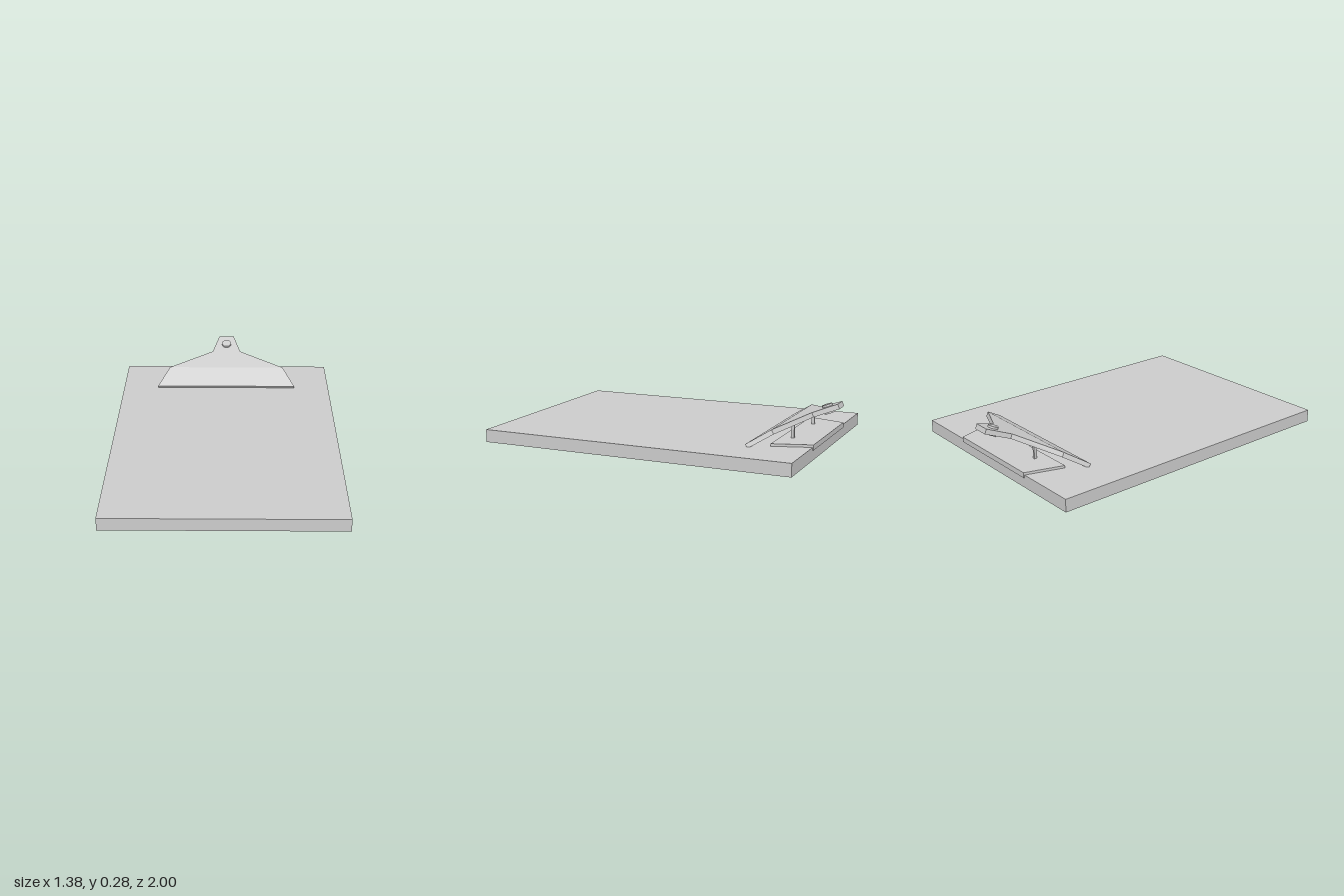
import * as THREE from 'three';

const mat = new THREE.MeshStandardMaterial({ color: 0xcccccc, flatShading: true });
const smooth = new THREE.MeshStandardMaterial({ color: 0xcccccc });

function add(parent, name, geo, x = 0, y = 0, z = 0, material = mat) {
  const mesh = new THREE.Mesh(geo, material);
  mesh.name = name;
  mesh.position.set(x, y, z);
  parent.add(mesh);
  return mesh;
}

// Bent plate lofted through stations of [half width, z, y of the top face, tilt in degrees, thickness]
function bentPlate(stations) {
  const rings = stations.map(([w, z, y, tilt, t]) => {
    const a = THREE.MathUtils.degToRad(tilt);
    const zb = z - t * Math.sin(a), yb = y - t * Math.cos(a);
    return [[-w, y, z], [w, y, z], [w, yb, zb], [-w, yb, zb]];
  });
  const pos = [];
  const quad = (a, b, c, d) => pos.push(...a, ...b, ...c, ...a, ...c, ...d);
  for (let i = 0; i < rings.length - 1; i++) {
    const p = rings[i], q = rings[i + 1];
    for (let k = 0; k < 4; k++) {
      const n = (k + 1) % 4;
      quad(p[k], p[n], q[n], q[k]);
    }
  }
  const first = rings[0], last = rings[rings.length - 1];
  quad(first[3], first[2], first[1], first[0]);
  quad(last[0], last[1], last[2], last[3]);
  const geo = new THREE.BufferGeometry();
  geo.setAttribute('position', new THREE.Float32BufferAttribute(pos, 3));
  geo.computeVertexNormals();
  return geo;
}

export function createModel() {
  const model = new THREE.Group();
  model.name = 'clipboard';

  // Writing board
  add(model, 'board', new THREE.BoxGeometry(1.38, 0.077, 1.925), 0, 0.0385, 0.0375);

  // Trapezoid mounting plate, with a lip folded over the back edge of the board
  const outline = new THREE.Shape([
    new THREE.Vector2(-0.385, 0.70), new THREE.Vector2(0.385, 0.70),
    new THREE.Vector2(0.315, 0.93), new THREE.Vector2(-0.315, 0.93),
  ]);
  const plate = new THREE.ExtrudeGeometry(outline, { depth: 0.015, bevelEnabled: false });
  plate.rotateX(-Math.PI / 2);
  add(model, 'mountingPlate', plate, 0, 0.077, 0);
  add(model, 'mountingLip', new THREE.BoxGeometry(0.63, 0.032, 0.006), 0, 0.076, -0.927);

  // Clip: sloping jaw, tapering shoulders and narrow thumb tab
  const clip = new THREE.Group();
  clip.name = 'clip';
  model.add(clip);
  add(clip, 'clipPlate', bentPlate([
    [0.46, -0.577, 0.093, 32, 0.027],
    [0.385, -0.705, 0.173, 26, 0.029],
    [0.095, -0.85, 0.227, 20, 0.029],
    [0.05, -0.989, 0.28, 20, 0.031],
  ]));

  // Rivet through the thumb tab, square to its slope
  const rivet = add(clip, 'rivet', new THREE.CylinderGeometry(0.031, 0.031, 0.054, 24),
    0, 0.238, -0.92, smooth);
  rivet.rotation.x = THREE.MathUtils.degToRad(20);

  // Posts joining the clip to the mounting plate
  for (const side of [-1, 1]) {
    add(model, side > 0 ? 'leftPost' : 'rightPost',
      new THREE.BoxGeometry(0.014, 0.09, 0.018), side * 0.2, 0.131, -0.772);
  }
  return model;
}
